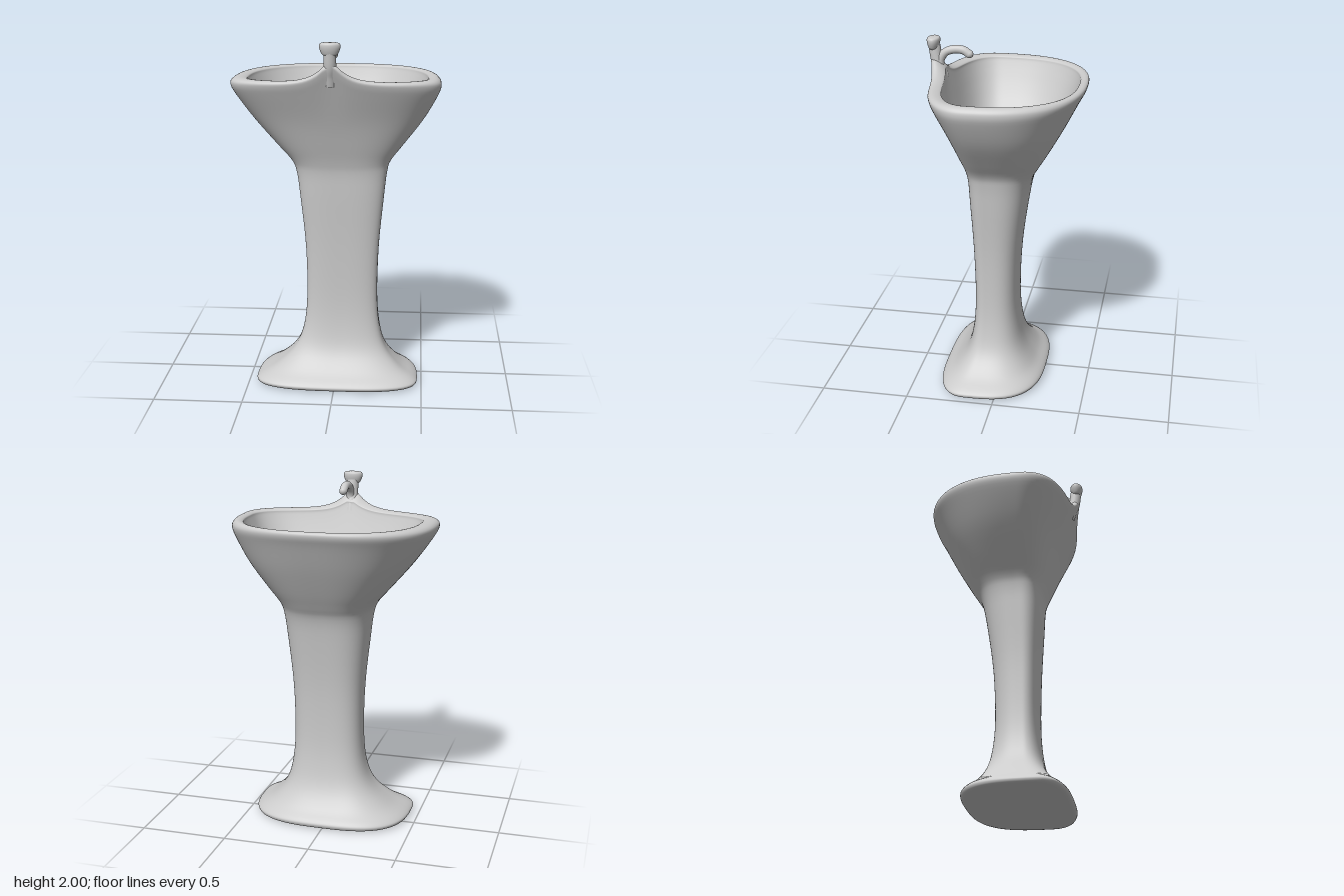
import * as THREE from 'three';

const SEG = 176, STEPS = 4;
const { smoothstep, lerp } = THREE.MathUtils;

// Outside profile from foot to rim: [y, x min, x max, z back, z front]
const OUTSIDE = [
  [0.005, -0.42, 0.44, -0.22, 0.32],
  [0.025, -0.455, 0.475, -0.245, 0.35],
  [0.05, -0.435, 0.455, -0.235, 0.335],
  [0.10, -0.345, 0.375, -0.18, 0.275],
  [0.19, -0.245, 0.295, -0.125, 0.21],
  [0.31, -0.19, 0.255, -0.093, 0.177],
  [0.50, -0.168, 0.237, -0.078, 0.163],
  [0.80, -0.173, 0.243, -0.09, 0.17],
  [1.10, -0.203, 0.27, -0.13, 0.188],
  [1.24, -0.222, 0.286, -0.16, 0.197],
  [1.31, -0.25, 0.306, -0.198, 0.212],
  [1.40, -0.328, 0.373, -0.253, 0.242],
  [1.55, -0.455, 0.485, -0.338, 0.296],
  [1.69, -0.553, 0.563, -0.41, 0.36],
  [1.745, -0.578, 0.578, -0.44, 0.385],
  [1.772, -0.565, 0.565, -0.443, 0.39],
  [1.782, -0.53, 0.54, -0.425, 0.365],
];

// All cross-sections, each with its share of the lift towards the tap added
function allSections() {
  const under = [0, 0.6].map((s) => [0.003, 0.01 + s * -0.43, 0.01 + s * 0.43,
    0.05 - s * 0.27, 0.05 + s * 0.27, 0]);
  const outside = OUTSIDE.map((row) => [...row, smoothstep(row[0], 1.55, 1.77)]);
  // The bowl shrinks to its floor while its depth follows a cubic curve
  const bowl = Array.from({ length: 10 }, (_, k) => {
    const s = Math.cos((k / 9) * Math.PI / 2);
    return [1.36 + 0.415 * s ** 3, 0.015 - s * 0.508, 0.015 + s * 0.495,
      0.03 - s * 0.432, 0.03 + s * 0.297, 0.6 * smoothstep(s, 0.85, 1)];
  });
  return [...under, ...outside, ...bowl];
}

// Smooth interpolation between neighbouring cross-sections
function sectionAt(sections, u) {
  const last = sections.length - 1;
  const k = Math.min(Math.floor(u), last - 1);
  const [a, b, c, d] = [-1, 0, 1, 2].map((o) => sections[Math.max(0, Math.min(last, k + o))]);
  return b.map((p, i) => {
    const t = u - k, m0 = (c[i] - a[i]) / 2, m1 = (d[i] - p) / 2, t2 = t * t, t3 = t2 * t;
    return (2 * t3 - 3 * t2 + 1) * p + (t3 - 2 * t2 + t) * m0
      + (3 * t2 - 2 * t3) * c[i] + (t3 - t2) * m1;
  });
}

// Pedestal and bowl: D-shaped rings, with the front rim swept up into the tap
function basinGeometry() {
  const sections = allSections();
  const pos = [], index = [];
  const rings = (sections.length - 1) * STEPS;
  for (let r = 0; r <= rings; r++) {
    const [y, x0, x1, zb, zf, lift] = sectionAt(sections, r / STEPS);
    const backPower = 2 / lerp(2.9, 2.45, smoothstep(y, 1.2, 1.7));
    const frontPower = 2 / lerp(2.9, 2.7, smoothstep(y, 1.2, 1.7));
    const zc = zb + 0.67 * (zf - zb);
    const xc = (x0 + x1) / 2, halfWidth = (x1 - x0) / 2;
    for (let s = 0; s < SEG; s++) {
      const t = (s / SEG) * Math.PI * 2, c = Math.cos(t), w = Math.sin(t);
      const power = w > 0 ? frontPower : backPower;
      const x = xc + halfWidth * Math.sign(c) * Math.abs(c) ** power;
      const z = zc + (w > 0 ? zf - zc : zc - zb) * Math.sign(w) * Math.abs(w) ** power;
      const up = w > 0 ? lift * 0.15 * Math.exp(-Math.hypot(x + 0.01, 0.02) / 0.075) : 0;
      pos.push(x, Math.max(0, y + up), z + up * 0.32);
    }
  }
  for (let r = 0; r < rings; r++) {
    for (let s = 0; s < SEG; s++) {
      const i = r * SEG + s, j = r * SEG + ((s + 1) % SEG);
      index.push(i, i + SEG, j, j, i + SEG, j + SEG);
    }
  }
  const g = new THREE.BufferGeometry();
  g.setAttribute('position', new THREE.Float32BufferAttribute(pos, 3));
  g.setIndex(index);
  g.computeVertexNormals();
  return g;
}

// Tube in a plane of constant x through [y, z] points
const tube = (x, points, radius) => new THREE.TubeGeometry(new THREE.CatmullRomCurve3(
  points.map(([y, z]) => new THREE.Vector3(x, y, z))), 40, radius, 20);

export function createModel() {
  const model = new THREE.Group();
  const material = new THREE.MeshStandardMaterial({ color: 0xcccccc });
  const add = (name, geometry, x = 0, y = 0, z = 0) => {
    const mesh = new THREE.Mesh(geometry, material);
    mesh.name = name;
    mesh.position.set(x, y, z);
    model.add(mesh);
    return mesh;
  };

  add('basinAndPedestal', basinGeometry());

  // Tap post, leaning out of the lifted rim
  add('tapPost', tube(-0.01, [[1.77, 0.36], [1.82, 0.376], [1.87, 0.395], [1.95, 0.408]], 0.033));

  // Knob on the post, wider than it is deep
  const knobProfile = new THREE.SplineCurve([[0, 1.925], [0.034, 1.932], [0.048, 1.95],
    [0.056, 1.975], [0.052, 1.993], [0.03, 1.999], [0, 2]].map(([r, y]) => new THREE.Vector2(r, y)));
  const knob = add('tapKnob', new THREE.LatheGeometry(knobProfile.getPoints(32), 32), -0.01, 0, 0.412);
  knob.scale.z = 0.64;

  // Curved spout with a rounded tip
  add('spout', tube(-0.005, [[1.8, 0.37], [1.87, 0.374], [1.915, 0.345],
    [1.933, 0.295], [1.93, 0.245], [1.91, 0.212]], 0.023));
  add('spoutTip', new THREE.SphereGeometry(0.023, 16, 12), -0.005, 1.91, 0.212);

  return model;
}
